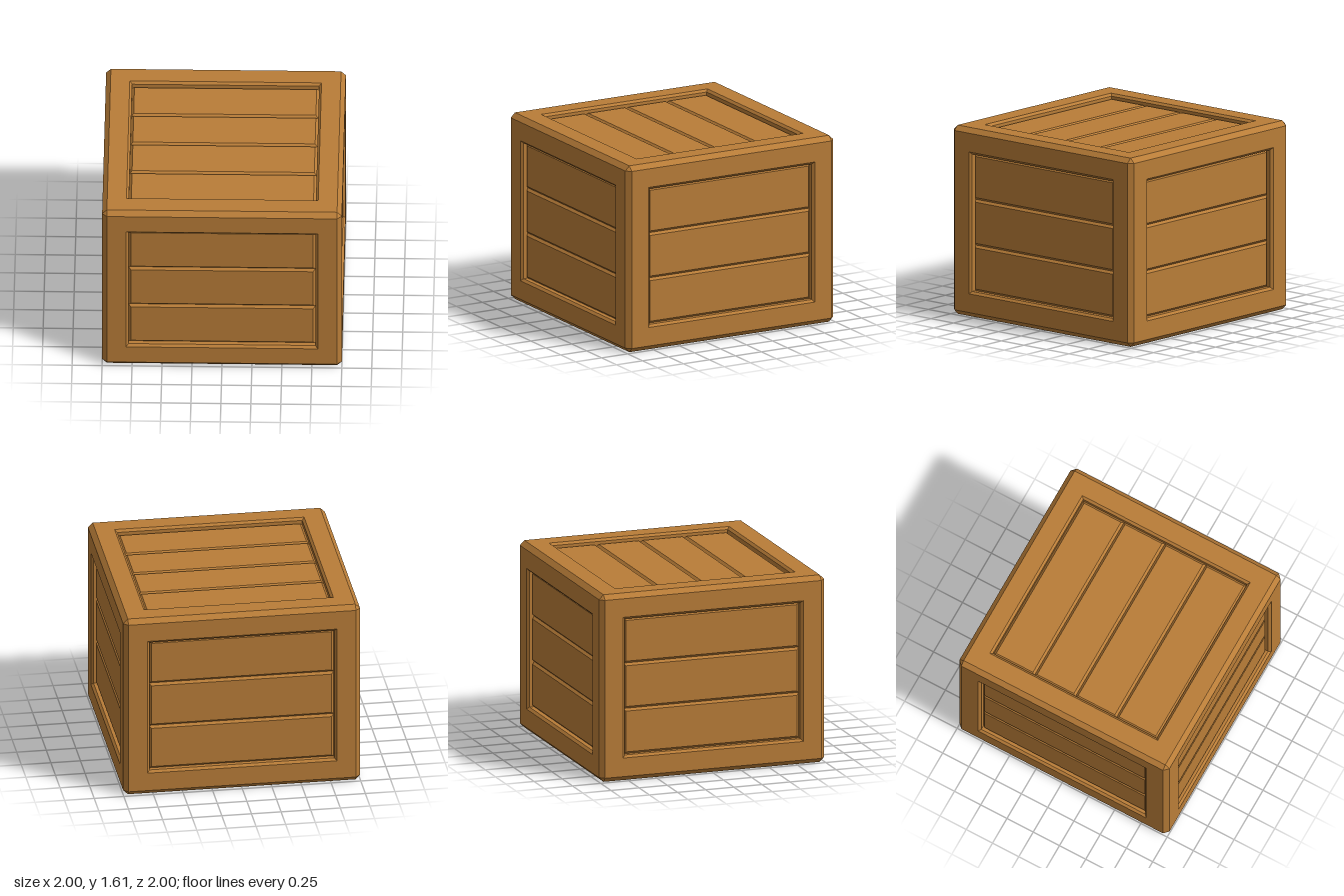
import * as THREE from 'three';

const W = 2, H = 1.613;     // crate width/depth and height
const CUT = 0.04;           // chamfer on the outer edges
const RIM = 0.2;            // frame border width
const BEVEL = 0.02;         // bevel on frame openings and planks
const FLOOR = -0.06;        // depth of the grooves between planks

const wood = new THREE.MeshStandardMaterial({ color: 0xb97d38, flatShading: true });

function meshFrom(name, points) {
  const geometry = new THREE.BufferGeometry();
  geometry.setAttribute('position', new THREE.Float32BufferAttribute(points, 3));
  geometry.computeVertexNormals();
  const mesh = new THREE.Mesh(geometry, wood);
  mesh.name = name;
  return mesh;
}

// Corners of a rectangle, anticlockwise, at height z
const rect = (x0, y0, x1, y1, z) => [[x0, y0, z], [x1, y0, z], [x1, y1, z], [x0, y1, z]];

const quad = (out, a, b, c, d) => out.push(...a, ...b, ...c, ...a, ...c, ...d);

// Four-sided band between an outer and an inner rectangle
function band(out, outer, inner) {
  for (let i = 0; i < 4; i++) {
    const j = (i + 1) % 4;
    quad(out, outer[i], outer[j], inner[j], inner[i]);
  }
}

// Border of one side: flat face, bevelled opening, wall down to the planks
function frame(w, h) {
  const loop = (inset, z) => rect(inset - w / 2, inset - h / 2, w / 2 - inset, h / 2 - inset, z);
  const loops = [loop(CUT, 0), loop(RIM, 0), loop(RIM + BEVEL, -BEVEL), loop(RIM + BEVEL, FLOOR)];
  const out = [];
  for (let i = 0; i < 3; i++) band(out, loops[i], loops[i + 1]);
  return meshFrom('frame', out);
}

// One horizontal board with bevelled edges
function plank(w, y0, y1) {
  const top = rect(-w / 2 + BEVEL, y0 + BEVEL, w / 2 - BEVEL, y1 - BEVEL, FLOOR + BEVEL);
  const out = [];
  band(out, rect(-w / 2, y0, w / 2, y1, FLOOR), top);
  quad(out, ...top);
  return meshFrom('plank', out);
}

function panel(name, w, h, count) {
  const group = new THREE.Group();
  group.name = name;
  group.add(frame(w, h));
  const innerW = w - 2 * (RIM + BEVEL), innerH = h - 2 * (RIM + BEVEL);
  const step = innerH / count;
  for (let i = 0; i < count; i++) {
    group.add(plank(innerW, -innerH / 2 + i * step, -innerH / 2 + (i + 1) * step));
  }
  return group;
}

// Chamfers along the twelve edges and triangles at the eight corners
function edgeChamfers() {
  const half = [W / 2, H / 2, W / 2];
  const out = [];
  const tri = (...p) => {
    const [a, b, c] = p.map((q) => new THREE.Vector3(...q));
    const normal = b.clone().sub(a).cross(c.clone().sub(a));
    const order = normal.dot(a) > 0 ? [0, 1, 2] : [0, 2, 1];
    order.forEach((i) => out.push(...p[i]));
  };
  // Corner point lying on the face of the given axis
  const corner = (signs, axis) => signs.map((s, i) => s * (half[i] - (i === axis ? 0 : CUT)));
  const S = [-1, 1];
  for (let k = 0; k < 3; k++) {
    const i = (k + 1) % 3, j = (k + 2) % 3;
    for (const si of S) for (const sj of S) {
      const signs = [0, 0, 0];
      signs[i] = si;
      signs[j] = sj;
      const [lo, hi] = S.map((s) => signs.map((v, n) => (n === k ? s : v)));
      tri(corner(lo, i), corner(hi, i), corner(hi, j));
      tri(corner(lo, i), corner(hi, j), corner(lo, j));
    }
  }
  for (const x of S) for (const y of S) for (const z of S) {
    tri(...[0, 1, 2].map((axis) => corner([x, y, z], axis)));
  }
  return meshFrom('edgeChamfers', out);
}

export function createModel() {
  const crate = new THREE.Group();
  crate.name = 'crate';

  // Four walls with three planks each
  ['front', 'left', 'back', 'right'].forEach((side, i) => {
    const wall = panel(side + 'Panel', W, H, 3);
    const angle = (i * Math.PI) / 2;
    wall.rotation.y = angle;
    wall.position.set(Math.sin(angle) * W / 2, H / 2, Math.cos(angle) * W / 2);
    crate.add(wall);
  });

  // Lid and base with four planks each
  const lid = panel('lidPanel', W, W, 4);
  lid.rotation.x = -Math.PI / 2;
  lid.position.y = H;
  const base = panel('basePanel', W, W, 4);
  base.rotation.x = Math.PI / 2;
  crate.add(lid, base);

  const edges = edgeChamfers();
  edges.position.y = H / 2;
  crate.add(edges);
  return crate;
}
